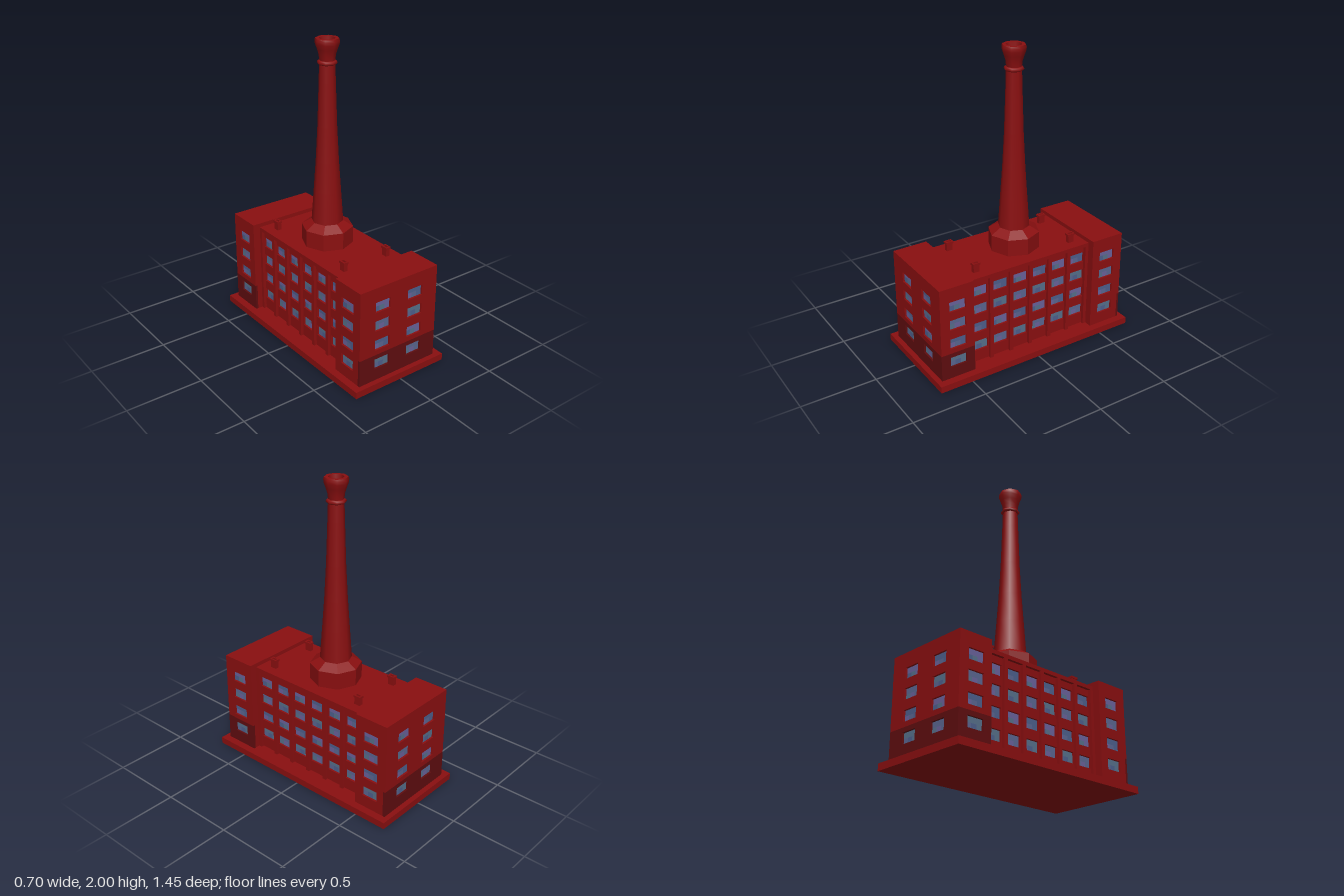
import * as THREE from 'three';
import { mergeGeometries, toCreasedNormals } from 'three/addons/utils/BufferGeometryUtils.js';

const mat = (color) => new THREE.MeshStandardMaterial({ color });
const brick = mat(0x8a0f10);
const darkBrick = mat(0x5f0d0f);
const glass = [0x5a6690, 0x6a629a, 0x56708a, 0x4d5f8c].map(mat);

const BASE = 0.045;        // top of the plinth
const BAND = 0.225;        // top of the darker ground course
const END_TOP = 0.687;
const HALL_TOP = 0.66;
const WALL = 0.015;        // depth of the window reveals
const WIN_W = 0.114, WIN_H = 0.07;
const ROWS = [0.16, 0.293, 0.426, 0.555];

function add(parent, name, geometry, material, x = 0, y = 0, z = 0) {
  const mesh = new THREE.Mesh(geometry, material);
  mesh.name = name;
  mesh.position.set(x, y, z);
  parent.add(mesh);
  return mesh;
}

// Box given by its centre in plan and its bottom and top heights
function block(parent, name, w, d, y0, y1, x, z, material = brick) {
  return add(parent, name, new THREE.BoxGeometry(w, y1 - y0, d), material, x, (y0 + y1) / 2, z);
}

function rect(Type, cx, cy, w, h) {
  const p = new Type();
  p.moveTo(cx - w / 2, cy - h / 2);
  p.lineTo(cx + w / 2, cy - h / 2);
  p.lineTo(cx + w / 2, cy + h / 2);
  p.lineTo(cx - w / 2, cy + h / 2);
  p.closePath();
  return p;
}

// Wall slab in the xy plane, pierced by every window that falls inside it
function wall(parent, width, y0, y1, cols, material) {
  const shape = rect(THREE.Shape, 0, (y0 + y1) / 2, width, y1 - y0);
  for (const y of ROWS) {
    if (y < y0 || y > y1) continue;
    for (const x of cols) shape.holes.push(rect(THREE.Path, x, y, WIN_W, WIN_H));
  }
  add(parent, 'wall', new THREE.ExtrudeGeometry(shape, { depth: WALL, bevelEnabled: false }), material);
}

// Two-part wall facing +z with tinted panes set behind the openings
function facade(name, width, top, cols, lowerMaterial) {
  const g = new THREE.Group();
  g.name = name;
  wall(g, width, BASE, BAND, cols, lowerMaterial);
  wall(g, width, BAND, top, cols, brick);
  const panes = glass.map(() => []);
  ROWS.forEach((y, r) => cols.forEach((x, c) => {
    for (let i = 0; i < 3; i++) for (let j = 0; j < 2; j++) {
      const pane = new THREE.PlaneGeometry(WIN_W / 3, WIN_H / 2);
      pane.translate(x + (i - 1) * WIN_W / 3, y + (j - 0.5) * WIN_H / 2, 0.002);
      panes[(i * 3 + j * 2 + r + c * 2 + i * j) % glass.length].push(pane);
    }
  }));
  panes.forEach((list, i) => list.length && add(g, 'windowPanes', mergeGeometries(list), glass[i]));
  return g;
}

function place(parent, child, x, z, angle) {
  child.position.set(x, 0, z);
  child.rotation.y = angle;
  parent.add(child);
}

// Taller block at one end of the building, facing +z
function endBlock() {
  const g = new THREE.Group();
  g.name = 'endBlock';
  const inner = 0.453, outer = 0.69 - WALL;
  const mid = (inner + outer) / 2, depth = outer - inner;
  block(g, 'core', 0.6 - 2 * WALL, depth, BASE, END_TOP, 0, mid);
  place(g, facade('endFacade', 0.6, END_TOP, [-0.126, 0.126], darkBrick), 0, outer, 0);
  const col = 0.568 - mid;
  place(g, facade('leftFacade', depth, END_TOP, [-col], darkBrick), 0.3 - WALL, mid, Math.PI / 2);
  place(g, facade('rightFacade', depth, END_TOP, [col], brick), -0.3 + WALL, mid, -Math.PI / 2);
  return g;
}

// Long side of the hall, facing +z: recessed wall, pilasters and frieze
function hallSide() {
  const g = new THREE.Group();
  g.name = 'hallSide';
  const cols = [-0.373, -0.224, -0.075, 0.075, 0.224, 0.373];
  place(g, facade('hallFacade', 0.906, HALL_TOP - 0.02, cols, brick), 0, 0.215, 0);
  for (let i = -3; i <= 3; i++) {
    block(g, 'pilaster', 0.026, 0.02, BASE, HALL_TOP - 0.025, i * 0.1475, 0.24);
  }
  block(g, 'frieze', 0.906, 0.035, HALL_TOP - 0.025, HALL_TOP, 0, 0.2325);
  return g;
}

// Small roof flue with an open cap
function roofFlue(x, z) {
  const g = new THREE.Group();
  g.name = 'roofFlue';
  g.position.set(x, HALL_TOP, z);
  block(g, 'flueBody', 0.028, 0.042, 0, 0.05, 0, 0);
  const cap = rect(THREE.Shape, 0, 0, 0.035, 0.052);
  cap.holes.push(rect(THREE.Path, 0, 0, 0.016, 0.032));
  const geo = new THREE.ExtrudeGeometry(cap, { depth: 0.014, bevelEnabled: false });
  geo.rotateX(-Math.PI / 2);
  add(g, 'flueCap', geo, brick, 0, 0.048, 0);
  return g;
}

function chimney() {
  const g = new THREE.Group();
  g.name = 'chimney';
  g.position.z = -0.03;
  const lathe = (pts) => new THREE.LatheGeometry(pts.map(([r, y]) => new THREE.Vector2(r, y)), 8);
  // Octagonal drum with a sloping shoulder
  const drum = lathe([[0.168, HALL_TOP], [0.168, 0.772], [0.1, 0.812]]);
  const facets = brick.clone();
  facets.flatShading = true;
  add(g, 'chimneyDrum', drum, facets);
  // Tapering shaft
  add(g, 'chimneyShaft', lathe([[0.103, 0.81], [0.088, 1.02], [0.074, 1.22], [0.062, 1.45],
    [0.053, 1.73], [0.049, 1.87]]), brick);
  // Moulded ring
  add(g, 'chimneyRing', lathe([[0.048, 1.838], [0.058, 1.842], [0.064, 1.852],
    [0.058, 1.862], [0.048, 1.866]]), brick);
  // Flared crown, turning inward to the open flue
  const crown = lathe([[0.049, 1.865], [0.053, 1.9], [0.064, 1.935], [0.075, 1.965], [0.077, 1.985],
    [0.073, 2], [0.05, 2], [0.042, 1.94], [0.038, 1.8], [0, 1.8]]);
  add(g, 'chimneyCrown', toCreasedNormals(crown, 0.9), brick);
  return g;
}

export function createModel() {
  const model = new THREE.Group();
  model.name = 'factory';
  block(model, 'plinth', 0.7, 1.45, 0, BASE, 0, 0);
  block(model, 'hallCore', 0.43, 0.906, BASE, HALL_TOP, 0, 0);
  for (const s of [1, -1]) {
    place(model, endBlock(), 0, 0, s > 0 ? 0 : Math.PI);
    place(model, hallSide(), 0, 0, s * Math.PI / 2);
    for (const t of [1, -1]) model.add(roofFlue(s * 0.167, t * 0.36));
  }
  model.add(chimney());
  return model;
}
